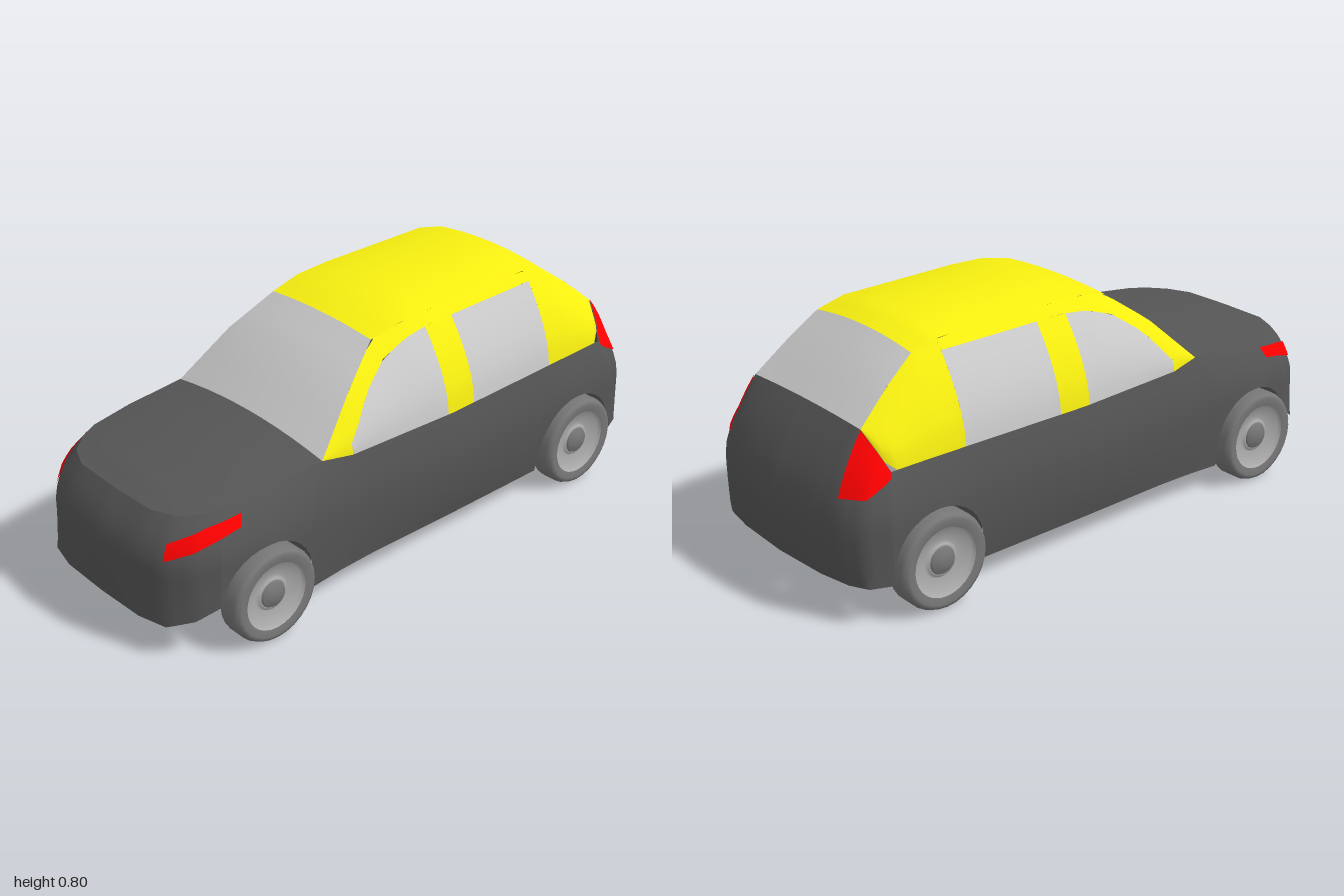
import * as THREE from 'three';

const mat = (color) => new THREE.MeshStandardMaterial({ color, side: THREE.DoubleSide });
const paint = mat(0x555555), yellow = mat(0xf8f010), red = mat(0xff0000);
const glass = mat(0xcccccc), tyreMat = mat(0x777777), rimMat = mat(0xaaaaaa);

// Piecewise-linear lookup: rows are [key, ...values]
const curve = (rows) => (k) => {
  let i = 0;
  while (i < rows.length - 2 && k > rows[i + 1][0]) i++;
  const a = rows[i], b = rows[i + 1];
  const t = THREE.MathUtils.clamp((k - a[0]) / (b[0] - a[0]), 0, 1);
  return a.slice(1).map((v, j) => v + (b[j + 1] - v) * t);
};
const range = (a, b, n) => Array.from({ length: n + 1 }, (_, i) => a + ((b - a) * i) / n);

// Surface through cols x rows of points given by fn(col, v)
function grid(name, material, cols, rows, fn) {
  const pos = [], idx = [], n = rows.length;
  cols.forEach((c) => rows.forEach((v) => pos.push(...fn(c, v))));
  for (let i = 0; i < cols.length - 1; i++) {
    for (let j = 0; j < n - 1; j++) {
      const a = i * n + j, b = a + n;
      idx.push(a, b, a + 1, b, b + 1, a + 1);
    }
  }
  const g = new THREE.BufferGeometry();
  g.setAttribute('position', new THREE.Float32BufferAttribute(pos, 3));
  g.setIndex(idx);
  g.computeVertexNormals();
  const mesh = new THREE.Mesh(g, material);
  mesh.name = name;
  return mesh;
}

// Half plan from nose centre to tail centre: waist x,z | top x,y,z | bottom x,y,z
const STATIONS = [
  [-1.0, 0, -0.92, 0.45, 0, -0.99, 0.115, 0],
  [-0.985, 0.17, -0.915, 0.45, 0.17, -0.985, 0.115, 0.18],
  [-0.955, 0.27, -0.88, 0.45, 0.25, -0.96, 0.115, 0.28],
  [-0.90, 0.335, -0.82, 0.455, 0.30, -0.90, 0.14, 0.345],
  [-0.823, 0.375, -0.76, 0.46, 0.325, -0.835, 0.18, 0.385],
  [-0.66, 0.395, -0.62, 0.475, 0.335, -0.66, 0.09, 0.395],
  [-0.485, 0.39, -0.41, 0.485, 0.345, -0.485, 0.09, 0.385],
  [-0.3, 0.385, -0.3, 0.47, 0.36, -0.3, 0.09, 0.37],
  [0.1, 0.405, 0.1, 0.47, 0.38, 0.1, 0.09, 0.375],
  [0.51, 0.395, 0.5, 0.47, 0.37, 0.51, 0.09, 0.375],
  [0.68, 0.40, 0.68, 0.47, 0.365, 0.68, 0.09, 0.395],
  [0.855, 0.395, 0.82, 0.465, 0.355, 0.85, 0.13, 0.40],
  [0.93, 0.36, 0.84, 0.52, 0.32, 0.92, 0.13, 0.37],
  [0.972, 0.285, 0.86, 0.578, 0.27, 0.95, 0.13, 0.31],
  [0.99, 0.18, 0.86, 0.583, 0.15, 0.97, 0.13, 0.2],
  [1.0, 0, 0.86, 0.585, 0, 0.98, 0.13, 0],
];
const station = curve(STATIONS.map((s, i) => [i, ...s]));
const stationAt = curve(STATIONS.map((s, i) => [s[0], i]));
const WAIST = 0.3;
const WHEELS = [-0.657, 0.682], AXLE = 0.155, ARCH = 0.167;

// Point on the lower body at station u and height y
function bodyPoint(u, y) {
  const [mx, mz, tx, ty, tz, bx, by, bz] = station(u);
  if (y > WAIST) {
    const s = Math.pow((y - WAIST) / (ty - WAIST), 1.8);
    return [mx + (tx - mx) * s, y, mz + (tz - mz) * s];
  }
  const s = Math.pow((WAIST - y) / (WAIST - by), 2);
  return [mx + (bx - mx) * s, y, mz + (bz - mz) * s];
}

// Lower edge of the body, raised over the wheels
function bottomY(u) {
  const [x, , , , , , by] = station(u);
  for (const cx of WHEELS) {
    const d = Math.abs(x - cx);
    if (d <= ARCH + 1e-6) return AXLE + Math.sqrt(Math.max(0, ARCH * ARCH - d * d));
  }
  return by;
}

// Greenhouse curves by x: belt line, roof edge, side glass top, roof crown
const belt = curve(STATIONS.slice(6, 14).map((s) => s.slice(2, 5)));
const hoodEdge = curve(STATIONS.slice(0, 7).map((s) => s.slice(2, 5)));
const roofEdge = curve([
  [-0.41, 0.485, 0.345], [-0.25, 0.64, 0.285], [-0.11, 0.742, 0.23], [0, 0.765, 0.238],
  [0.12, 0.77, 0.24], [0.55, 0.768, 0.238], [0.65, 0.745, 0.235], [0.75, 0.672, 0.25], [0.86, 0.578, 0.27],
]);
const glassTop = curve([
  [-0.3, 0.505], [-0.2, 0.62], [-0.1, 0.69], [0, 0.725], [0.1, 0.737], [0.56, 0.737],
]);
const crown = curve([
  [-0.92, 0], [-0.85, 0.018], [-0.41, 0.03], [-0.11, 0.012], [0, 0.018],
  [0.12, 0.026], [0.55, 0.026], [0.65, 0.02], [0.86, 0.007],
]);

function sidePoint(x, y) {
  const [yb, zb] = belt(x), [yr, zr] = roofEdge(x);
  const t = yr - yb > 1e-4 ? THREE.MathUtils.clamp((y - yb) / (yr - yb), 0, 1) : 0;
  return [x, y, zb + (zr - zb) * Math.pow(t, 1.7)];
}

// Crowned panel spanning the full width between two mirrored edges
const topPanel = (name, material, edge, xs) =>
  grid(name, material, xs, range(-1, 1, 10), (x, f) => {
    const [y, z] = edge(x);
    return [x, y + crown(x)[0] * (1 - f * f), z * f];
  });

function createWheel() {
  const wheel = new THREE.Group();
  const lathe = (name, material, pts) => {
    const g = new THREE.LatheGeometry(pts.map(([r, h]) => new THREE.Vector2(r, h)), 28);
    const m = new THREE.Mesh(g.rotateX(Math.PI / 2), material);
    m.name = name;
    wheel.add(m);
  };
  lathe('tyre', tyreMat, [[0.145, 0.34], [0.155, 0.348], [0.155, 0.405], [0.148, 0.42], [0.135, 0.425], [0.112, 0.42]]);
  lathe('rim', rimMat, [[0.112, 0.42], [0.104, 0.408], [0.06, 0.392], [0.052, 0.402], [0.045, 0.402]]);
  lathe('hub', tyreMat, [[0.045, 0.402], [0.04, 0.41], [0.026, 0.41], [0.022, 0.416], [0, 0.416]]);
  lathe('wheelBack', rimMat, [[0, 0.34], [0.145, 0.34]]);
  return wheel;
}

export function createModel() {
  const car = new THREE.Group();
  car.name = 'hatchback';

  // Body columns: even around the ends, clustered around the arches
  const archXs = (cx) => range(Math.PI, 0, 16).map((a) => cx + ARCH * Math.cos(a));
  const sideXs = [...archXs(WHEELS[0]), ...range(-0.485, 0.51, 8), ...archXs(WHEELS[1])];
  const bodyCols = [...range(0, 3.98, 12), ...sideXs.map((x) => stationAt(x)[0]), ...range(11, 15, 12)];

  for (const side of [1, -1]) {
    const half = new THREE.Group();
    half.name = side > 0 ? 'sidePanelsNear' : 'sidePanelsFar';
    car.add(half);
    const flip = ([x, y, z]) => [x, y, z * side];

    half.add(grid('bodySide', paint, bodyCols, range(0, 1, 9), (u, v) => {
      const y0 = bottomY(u);
      return flip(bodyPoint(u, y0 + (station(u)[3] - y0) * v));
    }));

    // Patches lying just proud of the body: stations, lower and upper heights
    const patch = (name, material, u0, u1, low, high, lift = 1) =>
      half.add(grid(name, material, range(u0, u1, 12), range(0, 1, 5), (u, v) => {
        const a = low(u)[0], [x, y, z] = bodyPoint(u, a + (high(u)[0] - a) * v);
        return flip([x * (1 + 0.003 * lift), y, z * (1 + 0.01 * lift)]);
      }));
    patch('headlight', red, 2, 4.4, curve([[2, 0.335], [4.4, 0.405]]), curve([[2, 0.385], [3.2, 0.422], [4.4, 0.44]]));
    patch('tailLight', red, 11, 13, curve([[11, 0.45], [12, 0.402], [13, 0.4]]), (u) => [station(u)[3]]);
    patch('frontGrille', paint, 0, 1.6, curve([[0, 0.16], [1, 0.16], [1.6, 0.23]]), curve([[0, 0.26], [1.6, 0.25]]), 0);
    patch('rearBumperPanel', paint, 13.6, 15, curve([[13.6, 0.14], [15, 0.14]]),
      curve([[13.6, 0.15], [13.9, 0.28], [15, 0.287]]), 0);
    patch('doorTrim', paint, 6.7, 8.8, curve([[6, 0.11], [9, 0.11]]), curve([[6, 0.2], [9, 0.2]]), 0.5);

    // Pillars, side windows and roof rail
    const strip = (name, material, x0, x1, low, high) =>
      half.add(grid(name, material, range(x0, x1, 10), range(0, 1, 6), (x, v) => {
        const a = low(x)[0];
        return flip(sidePoint(x, a + (high(x)[0] - a) * v));
      }));
    strip('windscreenPillar', yellow, -0.41, -0.3, belt, roofEdge);
    strip('frontSideWindow', glass, -0.3, 0.085, belt, glassTop);
    strip('centrePillar', yellow, 0.085, 0.2, belt, glassTop);
    strip('rearSideWindow', glass, 0.2, 0.56, belt, glassTop);
    strip('frontRoofRail', yellow, -0.3, 0.1, glassTop, roofEdge);
    strip('rearRoofRail', yellow, 0.1, 0.56, glassTop, roofEdge);
    strip('rearPillar', yellow, 0.56, 0.86, belt, roofEdge);

    // Flaps closing the ends of the sill
    for (const x of [-0.485, 0.51]) {
      half.add(grid('sillEnd', paint, [0.24, 0.375], [0.087, 0.27], (z, y) => flip([x, y, z])));
    }

    // Wheels
    for (const x of WHEELS) {
      const wheel = createWheel();
      wheel.name = x < 0 ? 'frontWheel' : 'rearWheel';
      wheel.position.set(x, AXLE, 0);
      if (side < 0) wheel.rotation.y = Math.PI;
      car.add(wheel);
    }
  }

  // Full-width top panels
  car.add(topPanel('hood', paint, hoodEdge, [-0.92, -0.915, -0.9, -0.88, -0.85, -0.82, ...range(-0.76, -0.41, 6)]));
  car.add(topPanel('windscreen', glass, roofEdge, [-0.41, -0.33, -0.25, -0.18, -0.11]));
  car.add(topPanel('roof', yellow, roofEdge, [-0.11, -0.05, 0, 0.06, 0.12, 0.26, 0.4, 0.55, 0.6, 0.65]));
  car.add(topPanel('rearWindow', glass, roofEdge, [0.65, 0.7, 0.75, 0.8, 0.86]));
  return car;
}
